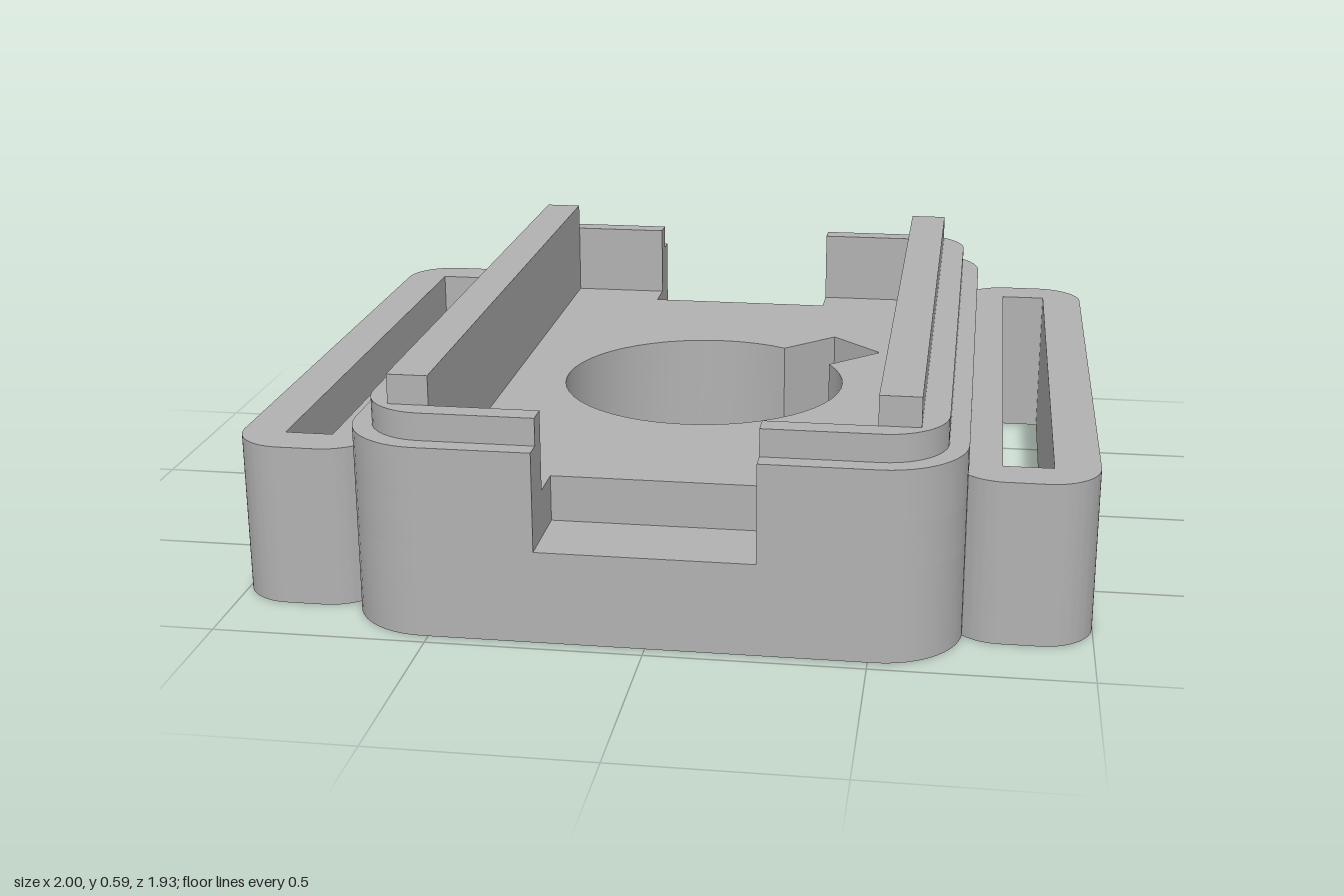
import * as THREE from 'three';
import { toCreasedNormals } from 'three/addons/utils/BufferGeometryUtils.js';

// Plan shapes are drawn in (x, -z) and laid flat, so their +z becomes up.
const NOTCH = 0.25, NOTCH_Z = 0.77;       // end notches
const CAV_X = 0.505, CAV_Z = 0.865;       // main pocket
const V = (x, y) => new THREE.Vector2(x, y);
const shapeOf = (pts) => new THREE.Shape(pts);
const half = (pts) => pts.map((p) => V(-p.x, -p.y)); // half-turn copy

// Right-hand edge of a rounded rectangle, from (NOTCH, hz) round to (NOTCH, -hz)
function rightEdge(hx, hz, r, n = 12) {
  const pts = [V(NOTCH, hz)];
  for (const s of [1, -1]) {
    for (let i = 0; i <= n; i++) {
      const a = (s > 0 ? 1 - i / n : -i / n) * Math.PI / 2;
      pts.push(V(hx - r + r * Math.cos(a), s * (hz - r) + r * Math.sin(a)));
    }
  }
  pts.push(V(NOTCH, -hz));
  return pts;
}

// C-shaped wall section wrapped around one side of the pocket
const cSection = (edge, innerX) => shapeOf([...edge,
  V(NOTCH, -CAV_Z), V(innerX, -CAV_Z), V(innerX, CAV_Z), V(NOTCH, CAV_Z)]);

function roundedRect(x0, x1, hz, r) {
  const s = new THREE.Shape();
  s.absarc(x1 - r, hz - r, r, Math.PI / 2, 0, true);
  s.absarc(x1 - r, -hz + r, r, 0, -Math.PI / 2, true);
  s.absarc(x0 + r, -hz + r, r, -Math.PI / 2, -Math.PI, true);
  s.absarc(x0 + r, hz - r, r, Math.PI, Math.PI / 2, true);
  s.closePath();
  return s;
}

// Vertical walls only of an extruded outline; inward walls face the axis
function walls(shape, y0, y1, inward = false) {
  const g = new THREE.ExtrudeGeometry(shape, { depth: y1 - y0, bevelEnabled: false, curveSegments: 48 });
  const { start, count } = g.groups[1];
  const p = Array.from(g.attributes.position.array.slice(start * 3, (start + count) * 3));
  if (inward) {
    for (let i = 0; i < p.length; i += 9) {
      for (let k = 0; k < 3; k++) [p[i + k], p[i + 3 + k]] = [p[i + 3 + k], p[i + k]];
    }
  }
  const out = new THREE.BufferGeometry();
  out.setAttribute('position', new THREE.Float32BufferAttribute(p, 3));
  return toCreasedNormals(out.rotateX(-Math.PI / 2).translate(0, y0, 0), 0.5);
}

// Flat face at height y; a downward face turns over (mirrored in z)
function face(shape, y, down = false) {
  const g = new THREE.ShapeGeometry(shape, 48);
  return g.rotateX(down ? Math.PI / 2 : -Math.PI / 2).translate(0, y, 0);
}

export function createModel() {
  const model = new THREE.Group();
  model.name = 'strapMountCase';
  const grey = new THREE.MeshStandardMaterial({ color: 0xb2b2b2 });
  grey.name = 'plainGrey';
  const add = (name, geometry, parent = model) => {
    const m = new THREE.Mesh(geometry, grey);
    m.name = name;
    parent.add(m);
    return m;
  };

  // Outlines
  const bodyEdge = rightEdge(0.705, 0.967, 0.19);
  const lipEdge = rightEdge(0.66, 0.92, 0.145);
  const bodyOutline = () => shapeOf([...bodyEdge, ...half(bodyEdge)]);
  const bore = new THREE.Path().absarc(0, 0, 0.28, 0, Math.PI * 2, false);
  const boreShape = shapeOf(bore.getPoints(48).slice(0, -1));

  // Round recess with a square key slot at 45 degrees
  const R = 0.365, W = 0.095, FAR = 0.535, a = Math.asin(W / R);
  const keyPts = [V(FAR, -W), V(FAR, W)];
  for (let i = 0; i <= 48; i++) {
    const t = a + (i / 48) * (Math.PI * 2 - 2 * a);
    keyPts.push(V(R * Math.cos(t), R * Math.sin(t)));
  }
  keyPts.forEach((p) => p.rotateAround(V(0, 0), Math.PI / 4));

  // Base block
  const base = new THREE.Group();
  base.name = 'base';
  model.add(base);
  const underside = bodyOutline();
  underside.holes.push(bore);
  add('underside', face(underside, 0, true), base);
  add('baseSides', walls(bodyOutline(), 0, 0.22), base);
  const notched = [V(NOTCH, NOTCH_Z), ...bodyEdge, V(NOTCH, -NOTCH_Z)];
  add('notchedSides', walls(shapeOf([...notched, ...half(notched)]), 0.22, 0.33), base);

  // Pocket floor, recess and bore
  const floorHalf = [V(NOTCH, NOTCH_Z), V(NOTCH, CAV_Z), V(CAV_X, CAV_Z),
    V(CAV_X, -CAV_Z), V(NOTCH, -CAV_Z), V(NOTCH, -NOTCH_Z)];
  const floor = shapeOf([...floorHalf, ...half(floorHalf)]);
  floor.holes.push(new THREE.Path(keyPts));
  add('pocketFloor', face(floor, 0.33), base);
  add('recessWall', walls(shapeOf(keyPts), 0.04, 0.33, true), base);
  const ledge = shapeOf(keyPts);
  ledge.holes.push(bore);
  add('recessLedge', face(ledge, 0.04), base);
  add('boreWall', walls(boreShape, 0, 0.04, true), base);

  // Everything that repeats on the two sides
  for (const [side, turn] of [['left', 0], ['right', Math.PI]]) {
    const g = new THREE.Group();
    g.name = side + 'Side';
    g.rotation.y = turn;
    model.add(g);

    // Notch floor at one end
    add('notchFloor', face(shapeOf([V(-NOTCH, NOTCH_Z), V(NOTCH, NOTCH_Z),
      V(NOTCH, 0.967), V(-NOTCH, 0.967)]), 0.22), g);

    // Stepped wall: body wall, shoulder, lip
    add('pocketWall', walls(cSection(bodyEdge, CAV_X), 0.33, 0.455), g);
    add('shoulder', face(shapeOf([...bodyEdge, ...[...lipEdge].reverse()]), 0.455), g);
    add('lipWall', walls(cSection(lipEdge, CAV_X), 0.455, 0.52), g);
    add('lipTop', face(cSection(lipEdge, 0.6), 0.52), g);

    // Rail standing on the lip
    const rail = add('rail', new THREE.BoxGeometry(0.6 - CAV_X, 0.07, 2 * CAV_Z), g);
    rail.position.set((0.6 + CAV_X) / 2, 0.555, 0);

    // Strap loop
    const loop = roundedRect(0.67, 1, 0.83, 0.12);
    loop.holes.push(new THREE.Path([V(0.78, -0.725), V(0.895, -0.725), V(0.895, 0.725), V(0.78, 0.725)]));
    const loopGeo = new THREE.ExtrudeGeometry(loop, { depth: 0.39, bevelEnabled: false, curveSegments: 12 });
    add('strapLoop', toCreasedNormals(loopGeo.rotateX(-Math.PI / 2), 0.5), g);
  }
  return model;
}
